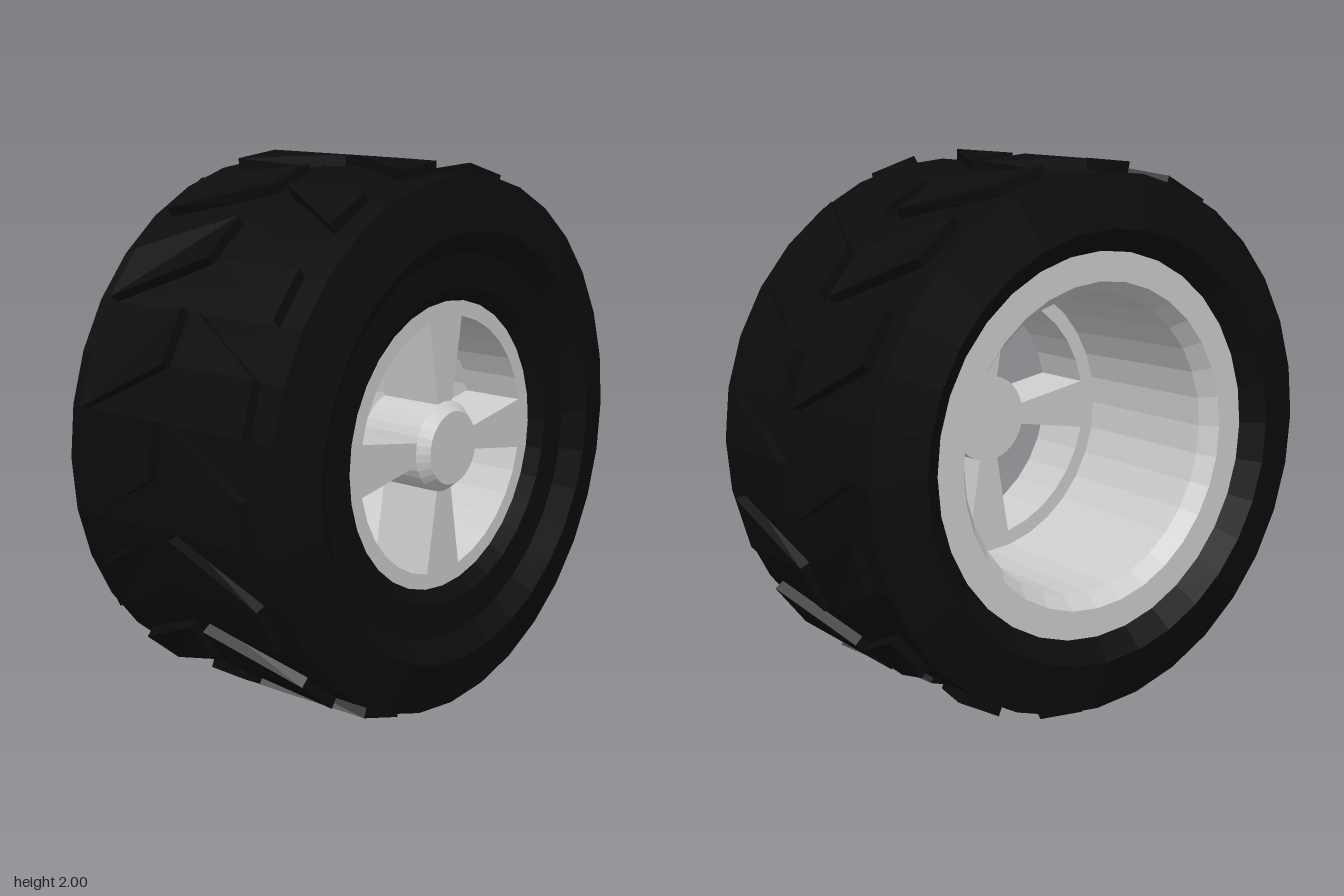
import * as THREE from 'three';

const SIDES = 32;
const STEP = (Math.PI * 2) / SIDES;

const rubber = new THREE.MeshStandardMaterial({ color: 0x0c0c0c, flatShading: true });
const metal = new THREE.MeshStandardMaterial({ color: 0xcccccc, flatShading: true });

// Revolve [radius, z] pairs around the z axis
function ring(profile) {
  const pts = profile.map(([r, z]) => new THREE.Vector2(r, z));
  return new THREE.LatheGeometry(pts, SIDES).rotateX(Math.PI / 2);
}

function add(parent, name, geometry, material) {
  const mesh = new THREE.Mesh(geometry, material);
  mesh.name = name;
  parent.add(mesh);
}

const polar = (r, a) => new THREE.Vector2(r * Math.cos(a), r * Math.sin(a));

// Slanted tread blocks: 16 per side, leaning one step towards the centre groove
function treadGeometry(outerZ, innerZ) {
  const pos = [];
  const index = [];
  for (let k = 0; k < SIDES / 2; k++) {
    const base = pos.length / 3;
    for (const r of [0.94, 1.0]) {
      for (const [step, z] of [[0, outerZ], [1, outerZ], [0, innerZ], [-1, innerZ]]) {
        const p = polar(r, (2 * k + step) * STEP);
        pos.push(p.x, p.y, z);
      }
    }
    // top, outer end, inner end, leading and trailing sides
    const quads = [[4, 5, 6, 7], [0, 1, 5, 4], [2, 3, 7, 6], [1, 2, 6, 5], [3, 0, 4, 7]];
    for (const q of quads) {
      const [a, b, c, d] = (outerZ < 0 ? [...q].reverse() : q).map((i) => base + i);
      index.push(a, c, b, a, d, c);
    }
  }
  const g = new THREE.BufferGeometry();
  g.setAttribute('position', new THREE.Float32BufferAttribute(pos, 3));
  g.setIndex(index);
  const flat = g.toNonIndexed();
  flat.computeVertexNormals();
  return flat;
}

// Thick disc with four windows that leave tapered spokes
function spokeGeometry() {
  const outline = [];
  for (let i = 0; i < SIDES; i++) outline.push(polar(0.522, i * STEP));
  const shape = new THREE.Shape(outline);
  const edge = Math.atan2(0.092, 0.455);
  for (let q = 0; q < 4; q++) {
    const turn = (q * Math.PI) / 2;
    const pts = [polar(0.15, turn + 0.26)];
    for (let i = 0; i <= 6; i++) {
      pts.push(polar(0.464, turn + edge + ((Math.PI / 2 - 2 * edge) * i) / 6));
    }
    pts.push(polar(0.15, turn + Math.PI / 2 - 0.26));
    shape.holes.push(new THREE.Path(pts));
  }
  return new THREE.ExtrudeGeometry(shape, { depth: 0.24, bevelEnabled: false }).translate(0, 0, 0.18);
}

export function createModel() {
  const wheel = new THREE.Group();
  wheel.name = 'wheel';
  wheel.position.y = 1;

  // Tyre carcass with sidewalls and the dark front lip
  add(wheel, 'tyre', ring([
    [0.69, -0.46], [0.77, -0.52], [0.96, -0.465], [0.96, 0.465],
    [0.77, 0.52], [0.69, 0.46], [0.57, 0.46], [0.52, 0.42],
  ]), rubber);
  add(wheel, 'frontTread', treadGeometry(0.37, 0.03), rubber);
  add(wheel, 'backTread', treadGeometry(-0.382, -0.038), rubber);

  // Rim barrel, open at the back with a flat flange
  add(wheel, 'rimBarrel', ring([
    [0.52, 0.18], [0.54, -0.4], [0.585, -0.46], [0.69, -0.46],
  ]), metal);

  // Spokes and hub
  add(wheel, 'spokes', spokeGeometry(), metal);
  add(wheel, 'hub', ring([
    [0, 0.18], [0.163, 0.18], [0.163, 0.42], [0.132, 0.46], [0, 0.46],
  ]), metal);

  const model = new THREE.Group();
  model.name = 'model';
  model.add(wheel);
  return model;
}
